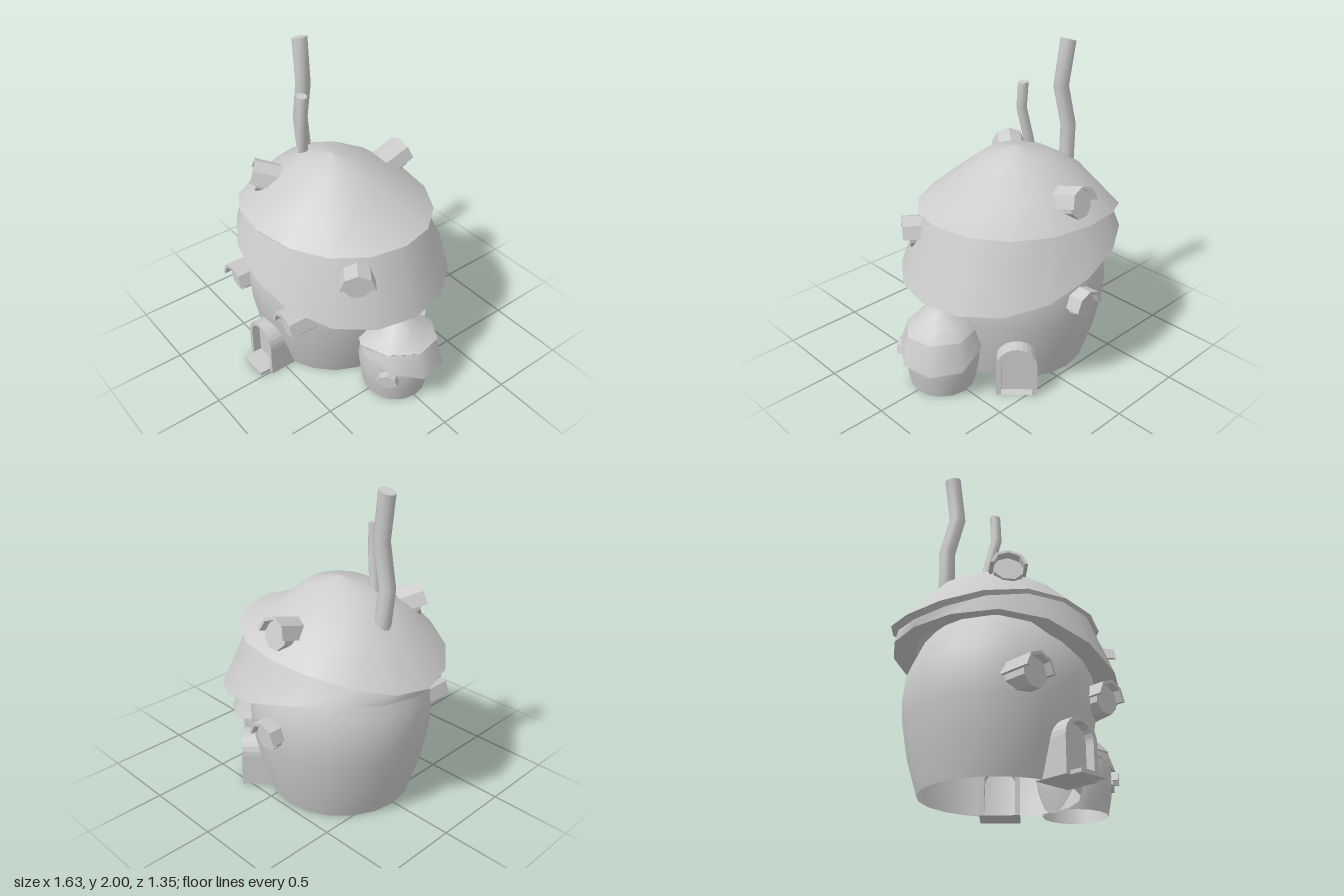
import * as THREE from 'three';

const material = new THREE.MeshStandardMaterial({ color: 0xcccccc, side: THREE.DoubleSide });
const flatMaterial = new THREE.MeshStandardMaterial({ color: 0xcccccc, side: THREE.DoubleSide, flatShading: true });
const rad = THREE.MathUtils.degToRad;

function add(parent, name, geometry, mat = material) {
  const mesh = new THREE.Mesh(geometry, mat);
  mesh.name = name;
  parent.add(mesh);
  return mesh;
}

// Smooth skin over elliptical rings [cx, cz, rx, rz, y], listed bottom to top; y may depend on u = cos(angle)
function loft(rings, n) {
  const pos = [], idx = [];
  rings.forEach(([cx, cz, rx, rz, y], i) => {
    for (let j = 0; j < n; j++) {
      const t = (j / n) * Math.PI * 2, u = Math.cos(t);
      pos.push(cx + rx * u, typeof y === 'function' ? y(u) : y, cz + rz * Math.sin(t));
      if (i === 0) continue;
      const k = (j + 1) % n, a = (i - 1) * n, b = i * n;
      idx.push(a + j, b + j, a + k, a + k, b + j, b + k);
    }
  });
  const g = new THREE.BufferGeometry();
  g.setAttribute('position', new THREE.Float32BufferAttribute(pos, 3));
  g.setIndex(idx);
  g.computeVertexNormals();
  return g;
}

// Two-tier crooked roof: a domed cap above a slanting skirt
function makeRoof(name, n) {
  const roof = new THREE.Group();
  roof.name = name;
  const capEdge = u => 1.05 + 0.085 * u - 0.055 * u * u - 0.06 * (u - u ** 3);
  const skirtTop = u => capEdge(u) - 0.02;
  const skirtEdge = u => 0.77 - 0.115 * u - 0.035 * u * u - 0.1 * (u - u ** 3);
  const capRing = [-0.135, -0.02, 0.685, 0.57, capEdge];
  const topRing = [-0.14, -0.005, 0.64, 0.54, skirtTop];
  const hemRing = [-0.05, -0.02, 0.72, 0.655, skirtEdge];
  add(roof, 'roofCap', loft([
    capRing,
    [-0.125, -0.005, 0.425, 0.4, u => 1.2 - 0.02 * u],
    [-0.12, 0, 0.22, 0.2, 1.342],
    [-0.12, 0, 0, 0, 1.39],
  ], n));
  add(roof, 'capRim', loft([topRing, capRing], n));
  add(roof, 'roofSkirt', loft([hemRing, topRing], n));
  add(roof, 'skirtUnderside', loft([[-0.13, -0.01, 0.5, 0.5, u => skirtEdge(u) + 0.03], hemRing], n));
  return roof;
}

// Round window with an arched hood; the hood's outer face lies at local z = 0
function makeWindow(name, x, y, z, yaw, tilt = 0, scale = 1) {
  const win = new THREE.Group();
  win.name = name;
  const depth = 0.2, shape = new THREE.Shape();
  for (let i = 0; i <= 4; i++) {
    const t = (i * Math.PI) / 4;
    shape[i ? 'lineTo' : 'moveTo'](0.108 * Math.cos(t), 0.108 * Math.sin(t));
  }
  for (let i = 4; i >= 0; i--) {
    const t = (i * Math.PI) / 4;
    shape.lineTo(0.088 * Math.cos(t), 0.088 * Math.sin(t));
  }
  const hood = new THREE.ExtrudeGeometry(shape, { depth, bevelEnabled: false });
  add(win, 'windowHood', hood.translate(0, 0, -depth), flatMaterial);
  const pane = new THREE.CylinderGeometry(0.09, 0.09, depth - 0.045, 8);
  pane.rotateY(Math.PI / 8).rotateX(Math.PI / 2).translate(0, 0, -(depth + 0.045) / 2);
  add(win, 'windowPane', pane, flatMaterial);
  win.position.set(x, y, z);
  win.rotation.set(-rad(tilt), rad(yaw), 0, 'YXZ');
  win.scale.setScalar(scale);
  return win;
}

function archPath(path, r, spring) {
  path.moveTo(r, 0);
  path.lineTo(r, spring);
  path.absarc(0, spring, r, 0, Math.PI, false);
  path.lineTo(-r, 0);
  path.closePath();
  return path;
}

// Arched doorway whose outer face lies at local z = 0
function makeDoor(name, x, z, yaw) {
  const door = new THREE.Group();
  door.name = name;
  const frame = archPath(new THREE.Shape(), 0.125, 0.208);
  frame.holes.push(archPath(new THREE.Path(), 0.095, 0.212));
  const opts = { bevelEnabled: false, curveSegments: 6 };
  add(door, 'doorFrame', new THREE.ExtrudeGeometry(frame, { ...opts, depth: 0.22 }).translate(0, 0, -0.22));
  const panel = archPath(new THREE.Shape(), 0.097, 0.212);
  add(door, 'doorPanel', new THREE.ExtrudeGeometry(panel, { ...opts, depth: 0.03 }).translate(0, 0, -0.085));
  door.position.set(x, 0, z);
  door.rotation.y = rad(yaw);
  return door;
}

// Crooked chimney pipe through [x, y, z] points, with a slanted capped top
function makeChimney(name, points, r, slope) {
  const pipe = new THREE.Group();
  pipe.name = name;
  const rings = points.map(([x, y, z], i) =>
    [x, z, r, r, i === points.length - 1 ? u => y + slope * u : y]);
  const top = rings[rings.length - 1], [x, y, z] = points[points.length - 1];
  add(pipe, 'chimneyPipe', loft(rings, 10));
  add(pipe, 'chimneyTop', loft([top, [x, z, 0, 0, y]], 10), flatMaterial);
  return pipe;
}

export function createModel() {
  const house = new THREE.Group();
  house.name = 'crookedHouse';

  // Main round house, open underneath
  const wall = [[0.46, 0], [0.52, 0.2], [0.56, 0.42], [0.567, 0.55], [0.552, 0.7], [0.48, 0.86], [0.42, 0.94]];
  add(house, 'mainWall', loft(wall.map(([r, y]) => [-0.125, -0.008, r, r, y]), 20));
  house.add(makeRoof('mainRoof', 16));

  // Small side tower with its own turned roof
  const tower = [[0.2, 0], [0.222, 0.11], [0.237, 0.22], [0.225, 0.32]];
  add(house, 'towerWall', loft(tower.map(([r, y]) => [0.52, -0.005, r, r, y]), 16));
  const towerRoof = makeRoof('towerRoof', 8);
  towerRoof.scale.set(0.38, 0.42, 0.39);
  towerRoof.rotation.y = rad(35);
  towerRoof.position.set(0.565, -0.044, -0.03);
  house.add(towerRoof);

  // Windows: two in front, one behind, one in the skirt, two roof dormers, one on the tower
  house.add(
    makeWindow('frontWindowRight', -0.403, 0.515, 0.605, 0),
    makeWindow('frontWindowLeft', 0.17, 0.515, 0.605, 0),
    makeWindow('backWindow', -0.105, 0.535, -0.65, 180),
    makeWindow('skirtWindow', 0.535, 0.91, 0.32, 55),
    makeWindow('frontDormer', -0.43, 1.23, 0.39, -37, 17),
    makeWindow('backDormer', -0.12, 1.19, -0.57, 180, 17),
    makeWindow('towerWindow', 0.685, 0.2, 0.21, 36, 0, 0.65),
  );

  // Doors and the front step
  house.add(makeDoor('frontDoor', -0.108, 0.605, 0), makeDoor('backDoor', 0.315, -0.455, 135));
  add(house, 'frontStep', new THREE.BoxGeometry(0.19, 0.022, 0.14)).position.set(-0.108, 0.011, 0.607);

  // Chimneys
  house.add(
    makeChimney('tallChimney', [[-0.5, 1.1, -0.07], [-0.525, 1.44, -0.055], [-0.463, 1.7, -0.042], [-0.502, 1.985, -0.054]], 0.049, 0.014),
    makeChimney('shortChimney', [[-0.335, 1.22, 0.07], [-0.31, 1.36, 0.08], [-0.27, 1.57, 0.107], [-0.276, 1.735, 0.1]], 0.033, -0.004),
  );
  return house;
}
